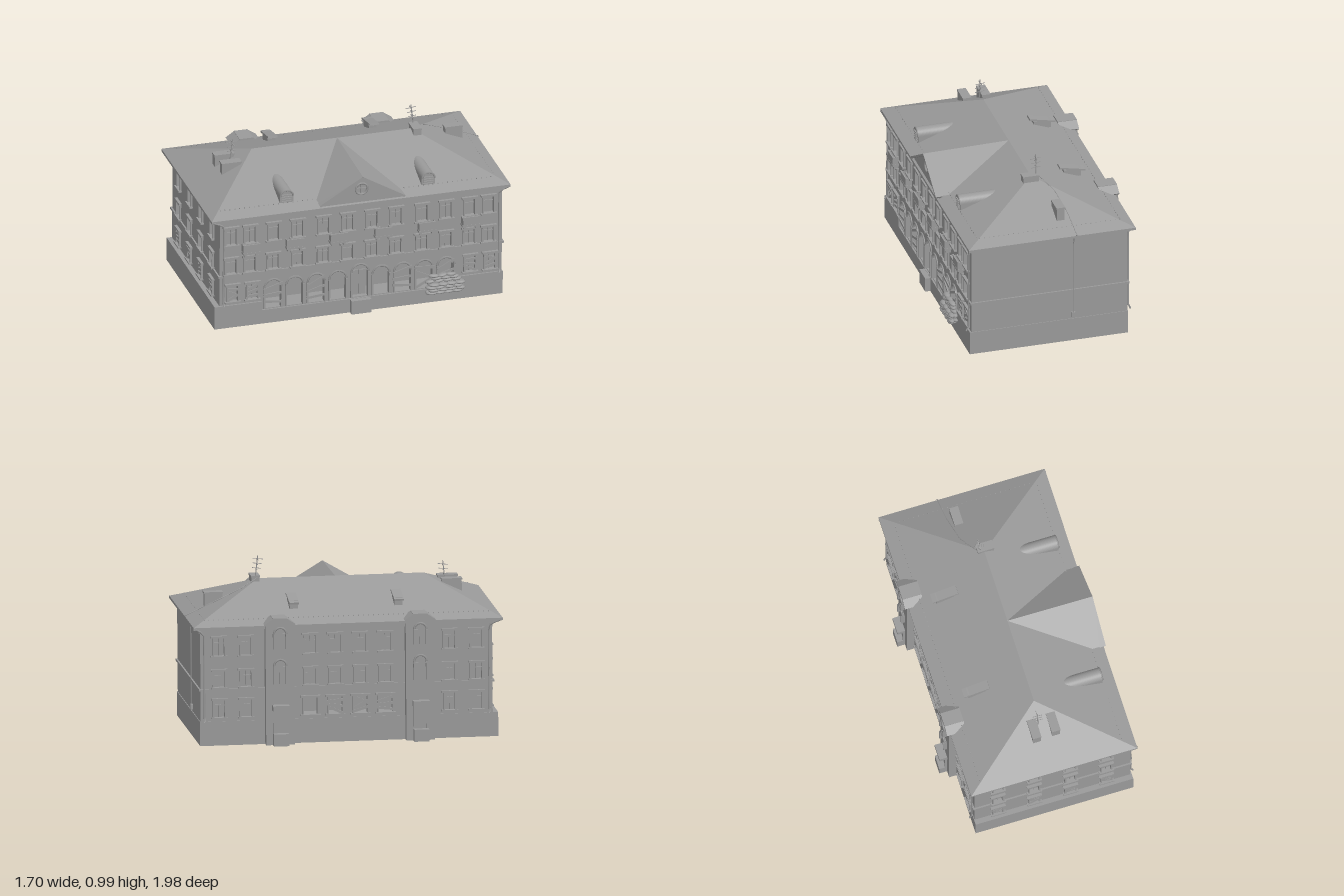
import * as THREE from 'three';
import { mergeGeometries } from 'three/addons/utils/BufferGeometryUtils.js';

const material = new THREE.MeshStandardMaterial({ color: 0x9a9a9a, side: THREE.DoubleSide });

// Wall limits, eave limits and key heights
const W = { x0: -0.81, x1: 0.825, z0: -0.445, z1: 0.457 };
const E = { x0: -0.865, x1: 0.865, z0: -0.48, z1: 0.484 };
const BASE = 0.007, TOP = 0.67, EAVE = 0.68, RIDGE = 0.857;
const roofY = (z) => EAVE + (RIDGE - EAVE) * (1 - Math.abs(z) / 0.482);

export function createModel() {
  const root = new THREE.Group();
  const building = new THREE.Group();
  // Turned on the plot and sunk slightly at one end
  building.rotation.set(0, Math.PI / 3, -0.0075);
  root.add(building);
  root.name = 'apartmentHouse';
  building.name = 'building';

  // Geometry is gathered by part name and merged at the end
  const parts = {};
  let place = new THREE.Matrix4();
  const add = (name, g) => {
    const flat = g.index ? g.toNonIndexed() : g;
    (parts[name] ??= []).push(flat.applyMatrix4(place));
  };
  const box = (name, w, h, d, x, y, z, rz = 0, rx = 0) =>
    add(name, new THREE.BoxGeometry(w, h, d).rotateX(rx).rotateZ(rz).translate(x, y, z));
  const span = (name, x0, x1, y0, y1, z0, z1) =>
    box(name, x1 - x0, y1 - y0, z1 - z0, (x0 + x1) / 2, (y0 + y1) / 2, (z0 + z1) / 2);
  const tube = (name, pts, r) => add(name, new THREE.TubeGeometry(
    new THREE.CatmullRomCurve3(pts.map((p) => new THREE.Vector3(...p)), false, 'catmullrom', 0.1), pts.length * 4, r, 6));
  const extrude = (shape, depth) => new THREE.ExtrudeGeometry(shape, { depth, bevelEnabled: false, curveSegments: 12 });
  const tris = (name, points) => {
    const g = new THREE.BufferGeometry();
    g.setAttribute('position', new THREE.Float32BufferAttribute(points.flat(), 3));
    g.setAttribute('uv', new THREE.Float32BufferAttribute(new Array(points.length * 2).fill(0), 2));
    g.computeVertexNormals();
    add(name, g);
  };
  const ring = (name, o, y0, y1, t) => {
    span(name, o.x0, o.x1, y0, y1, o.z1 - t, o.z1);
    span(name, o.x0, o.x1, y0, y1, o.z0, o.z0 + t);
    span(name, o.x0, o.x0 + t, y0, y1, o.z0 + t, o.z1 - t);
    span(name, o.x1 - t, o.x1, y0, y1, o.z0 + t, o.z1 - t);
  };
  const grow = (o, d) => ({ x0: o.x0 - d, x1: o.x1 + d, z0: o.z0 - d, z1: o.z1 + d });

  // Outline of an opening or a round-topped panel
  const outline = (path, { x, y, w, h, arch }) => {
    path.moveTo(x - w / 2, y).lineTo(x + w / 2, y);
    if (arch) path.lineTo(x + w / 2, y + h - w / 2).absarc(x, y + h - w / 2, w / 2, 0, Math.PI, false);
    else path.lineTo(x + w / 2, y + h).lineTo(x - w / 2, y + h);
    path.closePath();
    return path;
  };
  const boards = ({ x, y, w, h }, k) => {
    for (let i = 0; i < 3; i++)
      box('boards', w * 1.15, 0.014, 0.006, x, y + h * (0.22 + 0.27 * i), 0.006 + i * 0.002, [0.1, -0.45, 0.3, -0.12, 0.5][(i * 2 + k) % 5]);
  };
  const trim = (o) => {
    const { x, y, w, h, arch } = o;
    const hs = arch ? h - w / 2 : h;
    for (const s of [-1, 1]) box('windowFrames', 0.009, hs, 0.034, x + s * w / 2, y + hs / 2, -0.006);
    if (arch) add('windowFrames', new THREE.TorusGeometry(w / 2, 0.006, 4, 12, Math.PI).translate(x, y + hs, 0.003));
    else {
      box('windowFrames', w + 0.026, 0.012, 0.04, x, y + h + 0.003, -0.004);
      box('windowFrames', w + 0.026, 0.009, 0.03, x, y - 0.003, 0.004);
    }
    if (o.open) return;
    add('windowPanes', extrude(outline(new THREE.Shape(), o), 0.003).translate(0, 0, -0.014));
    box('windowFrames', 0.005, h, 0.006, x, y + h / 2, -0.008);
    box('windowFrames', w, 0.005, 0.006, x, y + h * 0.68, -0.008);
  };
  const wall = (x0, x1, openings) => {
    const s = new THREE.Shape();
    s.moveTo(x0, BASE).lineTo(x1, BASE).lineTo(x1, TOP).lineTo(x0, TOP).closePath();
    s.holes = openings.map((o) => outline(new THREE.Path(), o));
    add('walls', extrude(s, 0.014).translate(0, 0, -0.014));
    openings.forEach((o, i) => { trim(o); if (o.boarded) boards(o, i); });
  };
  const rows = (xs, list, w = 0.066) => list.flatMap(([y, h, boarded]) => xs.map((x) => ({ x, y, w, h, boarded })));
  // Recessed room behind an open front
  const niche = (x0, x1, y0, y1, d) => {
    const t = 0.006;
    span('recess', x0, x1, y0, y1, -d - t, -d);
    span('recess', x0, x1, y0 - t, y0, -d, -0.012);
    span('recess', x0, x1, y1, y1 + t, -d, -0.012);
    span('recess', x0 - t, x0, y0, y1, -d, -0.012);
    span('recess', x1, x1 + t, y0, y1, -d, -0.012);
  };
  const on = (x, z, ry, fn) => {
    place = new THREE.Matrix4().makeRotationY(ry).setPosition(x, 0, z);
    fn();
    place = new THREE.Matrix4();
  };
  const mirror = (list) => [...list.map((v) => -v).reverse(), ...list];

  // Front facade: windows, arcade, balconies
  on(0, W.z1, 0, () => {
    const arches = mirror([0.125, 0.25, 0.375, 0.5]).map((x, i) => ({ x, y: 0.095, w: 0.1, h: 0.175, arch: true, open: true, boarded: [0, 2, 5, 6, 7].includes(i) }));
    const door = { x: 0.003, y: 0.095, w: 0.1, h: 0.2, arch: true, open: true };
    wall(W.x0, W.x1, [
      ...rows(mirror([0.07, 0.21, 0.36, 0.5, 0.635, 0.745]), [[0.512, 0.105], [0.335, 0.095]]),
      ...rows([-0.735, -0.62, 0.64, 0.755], [[0.165, 0.1, true]]), ...arches, door]);
    niche(-0.57, 0.57, 0.09, 0.3, 0.13);
    for (const s of [-1, 1]) box('entranceDoor', 0.04, 0.15, 0.008, 0.003 + s * 0.022, 0.17, -0.03);
    for (const x of mirror([0.13, 0.3825, 0.635])) {
      box('balconies', 0.1, 0.012, 0.04, x, 0.462, 0.02);
      box('balconies', 0.092, 0.045, 0.005, x, 0.488, 0.036);
      box('balconies', 0.1, 0.006, 0.008, x, 0.513, 0.036);
      for (const s of [-1, 1]) {
        box('balconies', 0.005, 0.045, 0.036, x + s * 0.0455, 0.488, 0.019);
        box('balconies', 0.012, 0.02, 0.027, x + s * 0.034, 0.447, 0.014);
      }
    }
  });

  // Rear facade with shop recess
  on(0, W.z0, Math.PI, () => {
    const cols = mirror([0.57, 0.72]), mid = mirror([0.07, 0.21]);
    wall(-W.x1, -W.x0, [
      ...rows([...cols, ...mid], [[0.512, 0.105], [0.335, 0.095]]), ...rows(cols, [[0.165, 0.1]]),
      ...mid.map((x, i) => ({ x, y: 0.165, w: 0.085, h: 0.1, open: true, boarded: i > 0 }))]);
    niche(-0.27, 0.27, 0.155, 0.275, 0.15);
    // Stair bays with porches
    for (const x of [-0.385, 0.4]) {
      const s = new THREE.Shape();
      s.moveTo(x - 0.08, BASE).lineTo(x + 0.08, BASE).lineTo(x + 0.08, 0.685).lineTo(x + 0.035, 0.715)
        .lineTo(x - 0.035, 0.715).lineTo(x - 0.08, 0.685).closePath();
      add('stairBays', extrude(s, 0.045));
      box('stairBays', 0.08, 0.01, 0.11, x, 0.718, 0.002);
      for (const k of [-1, 1]) box('stairBays', 0.06, 0.01, 0.11, x + k * 0.06, 0.701, 0.002, -k * 0.588);
      const front = place.clone();
      place = front.clone().multiply(new THREE.Matrix4().makeTranslation(0, 0, 0.055));
      trim({ x, y: 0.55, w: 0.07, h: 0.12, arch: true });
      trim({ x, y: 0.35, w: 0.07, h: 0.14, arch: true });
      place = front.clone().multiply(new THREE.Matrix4().makeTranslation(0, 0, 0.045));
      span('porches', x - 0.042, x + 0.042, BASE, 0.075, 0, 0.045);
      span('porches', x - 0.035, x + 0.035, 0.075, 0.2, 0, 0.008);
      span('porches', x - 0.046, x + 0.046, 0.205, 0.235, 0, 0.045);
      for (const k of [-1, 1]) box('porches', 0.01, 0.135, 0.012, x + k * 0.037, 0.14, 0.006);
      place = front;
    }
  });

  // End walls: one with windows, one blank
  on(W.x0, 0, -Math.PI / 2, () => wall(W.z0, W.z1,
    rows([-0.31, -0.1, 0.11, 0.318], [[0.51, 0.1], [0.335, 0.09], [0.165, 0.09, true]], 0.06)));
  on(W.x1, 0, Math.PI / 2, () => wall(-W.z1, -W.z0, []));

  // Plinth, stepped down along the arcade
  const P = { x0: -0.84, x1: 0.829, z0: -0.448, z1: 0.467 };
  span('plinth', P.x0, -0.565, BASE, 0.143, W.z1 - 0.01, P.z1);
  span('plinth', 0.565, P.x1, BASE, 0.143, W.z1 - 0.01, P.z1);
  span('plinth', -0.565, 0.565, BASE, 0.09, W.z1 - 0.01, P.z1);
  span('plinth', P.x0, P.x1, BASE, 0.143, P.z0, W.z0 + 0.01);
  span('plinth', P.x0, W.x0, BASE, 0.143, P.z0, P.z1);
  span('plinth', W.x1 - 0.01, P.x1, BASE, 0.143, P.z0, P.z1);
  span('entranceSteps', -0.055, 0.06, BASE, 0.088, W.z1, 0.497);
  ring('stringCourse', grow(W, 0.009), 0.316, 0.328, 0.015);
  ring('cornice', grow(W, 0.01), 0.645, 0.66, 0.02);
  ring('cornice', grow(W, 0.02), 0.66, 0.67, 0.035);
  ring('eaves', E, 0.666, EAVE, 0.06);

  // Hipped roof
  const A = [E.x0, EAVE, E.z1], B = [E.x1, EAVE, E.z1], C = [E.x1, EAVE, E.z0], D = [E.x0, EAVE, E.z0];
  const L = [-0.49, RIDGE, 0], R = [0.435, RIDGE, 0];
  tris('roof', [A, B, R, A, R, L, C, D, L, C, L, R, D, A, L, B, C, R]);

  // Central gable with round window
  const peak = [0.005, 0.848, 0.495], back = [0.005, RIDGE, 0];
  for (const s of [-1, 1]) {
    const valley = [0.005 + s * 0.245, 0.704, 0.41], eave = [0.005 + s * 0.245, 0.702, 0.492];
    tris('gableRoof', s > 0 ? [back, peak, valley, peak, eave, valley] : [back, valley, peak, peak, valley, eave]);
    box('gable', 0.284, 0.012, 0.035, 0.005 + s * 0.123, 0.768, 0.477, -s * 0.534);
  }
  const tri = new THREE.Shape().moveTo(-0.235, 0.66).lineTo(0.245, 0.66).lineTo(0.245, 0.698).lineTo(0.005, 0.841).lineTo(-0.235, 0.698);
  tri.holes = [new THREE.Path().absarc(0.005, 0.765, 0.032, 0, Math.PI * 2, true)];
  add('gable', extrude(tri, 0.02).translate(0, 0, 0.452));
  add('gable', new THREE.TorusGeometry(0.034, 0.006, 5, 20).translate(0.005, 0.765, 0.473));
  add('gable', new THREE.CircleGeometry(0.033, 20).translate(0.005, 0.765, 0.457));
  for (const r of [0, Math.PI / 2]) box('gable', 0.064, 0.004, 0.006, 0.005, 0.765, 0.463, r);

  // Barrel dormers with slatted fronts
  for (const x of [-0.41, 0.41]) {
    add('dormers', extrude(outline(new THREE.Shape(), { x, y: 0.69, w: 0.078, h: 0.094, arch: true }), 0.26).translate(0, 0, 0.15));
    add('dormers', new THREE.TorusGeometry(0.037, 0.005, 4, 12, Math.PI).translate(x, 0.745, 0.412));
    for (let i = 0; i < 4; i++) box('dormers', 0.056, 0.006, 0.008, x, 0.715 + i * 0.013, 0.413);
  }

  // Chimneys and roof hatches
  const chimney = (x, z, w, d, y0, y1) => {
    span('chimneys', x - w / 2, x + w / 2, y0, y1, z - d / 2, z + d / 2);
    span('chimneys', x - w / 2 - 0.003, x + w / 2 + 0.003, y1 - 0.01, y1, z - d / 2 - 0.003, z + d / 2 + 0.003);
  };
  chimney(-0.64, -0.045, 0.11, 0.045, 0.74, 0.832);
  chimney(-0.632, 0.068, 0.11, 0.045, 0.74, 0.832);
  chimney(0.7, -0.08, 0.1, 0.045, 0.72, 0.807);
  chimney(0.455, 0.01, 0.045, 0.09, 0.82, 0.878);
  for (const x of [-0.304, 0.283]) {
    box('roofHatches', 0.045, 0.045, 0.1, x, roofY(-0.28) + 0.01, -0.28);
    box('roofHatches', 0.054, 0.01, 0.15, x, roofY(-0.28) + 0.036, -0.28, 0, -0.2);
  }

  // Aerials leaning on the chimneys
  for (const [x, z, y0, y1, lean] of [[-0.597, -0.013, 0.79, 0.922, 0.014], [0.44, -0.026, 0.84, 0.99, -0.018]]) {
    tube('aerials', [[x - lean, y0, z], [x, y1, z]], 0.003);
    for (let i = 0; i < 3; i++) {
      const y = y1 - 0.018 - i * 0.026;
      box('aerials', 0.06 - i * 0.006, 0.003, 0.003, x - lean * 0.2 * i, y, z, 0.12);
      box('aerials', 0.003, 0.003, 0.055, x - lean * 0.2 * i, y - 0.006, z, 0, 0.1);
    }
  }

  // Cable over the hip and down the blank wall
  tube('cable', [[0.435, 0.87, -0.03], [0.56, 0.815, -0.1], [0.72, 0.75, -0.13], [0.868, 0.686, -0.14]], 0.002);
  tube('cable', [[0.868, 0.686, -0.14], [0.833, 0.64, -0.13], [0.833, 0.18, -0.13]], 0.003);
  span('cable', 0.825, 0.838, 0.155, 0.185, -0.142, -0.118);

  // Snow guard posts
  const G = grow(E, -0.07), gy = roofY(0.412) + 0.002;
  for (let x = G.x0; x <= G.x1; x += 0.028)
    for (const z of [G.z0, G.z1]) if (z < 0 || Math.abs(x) > 0.24) box('snowGuards', 0.004, 0.008, 0.004, x, gy, z);
  for (let z = G.z0; z <= G.z1; z += 0.028)
    for (const x of [G.x0, G.x1]) box('snowGuards', 0.004, 0.008, 0.004, x, gy, z);

  // Corner drainpipes with bent heads
  for (const [wx, ex, s] of [[W.x0, E.x0, -1], [W.x1, E.x1, 1]])
    for (const [wz, ez] of [[W.z0 - 0.01, E.z0], [W.z1 + 0.01, E.z1]])
      tube('drainpipes', [[ex - s * 0.01, 0.67, ez], [wx - s * 0.02, 0.63, wz], [wx - s * 0.02, 0.16, wz], [wx - s * 0.02, 0.145, wz * 1.03]], 0.005);

  // Sandbag pile beside the arcade
  let seed = 7;
  const rnd = () => (seed = (seed * 16807) % 2147483647) / 2147483647;
  for (let r = 0; r < 7; r++)
    for (let i = 0; i < 4 - (r > 4); i++)
      for (const z of r < 4 ? [0.48, 0.498] : [0.48])
        add('sandbags', new THREE.SphereGeometry(1, 10, 6).scale(0.032, 0.01, 0.018).rotateZ((rnd() - 0.5) * 0.3).rotateY((rnd() - 0.5) * 0.5)
          .translate(0.405 + i * 0.05 + (r % 2) * 0.016 + (r > 4) * 0.02, 0.078 + r * 0.016, z));

  for (const [name, list] of Object.entries(parts)) {
    const mesh = new THREE.Mesh(mergeGeometries(list), material);
    mesh.name = name;
    building.add(mesh);
  }
  return root;
}
